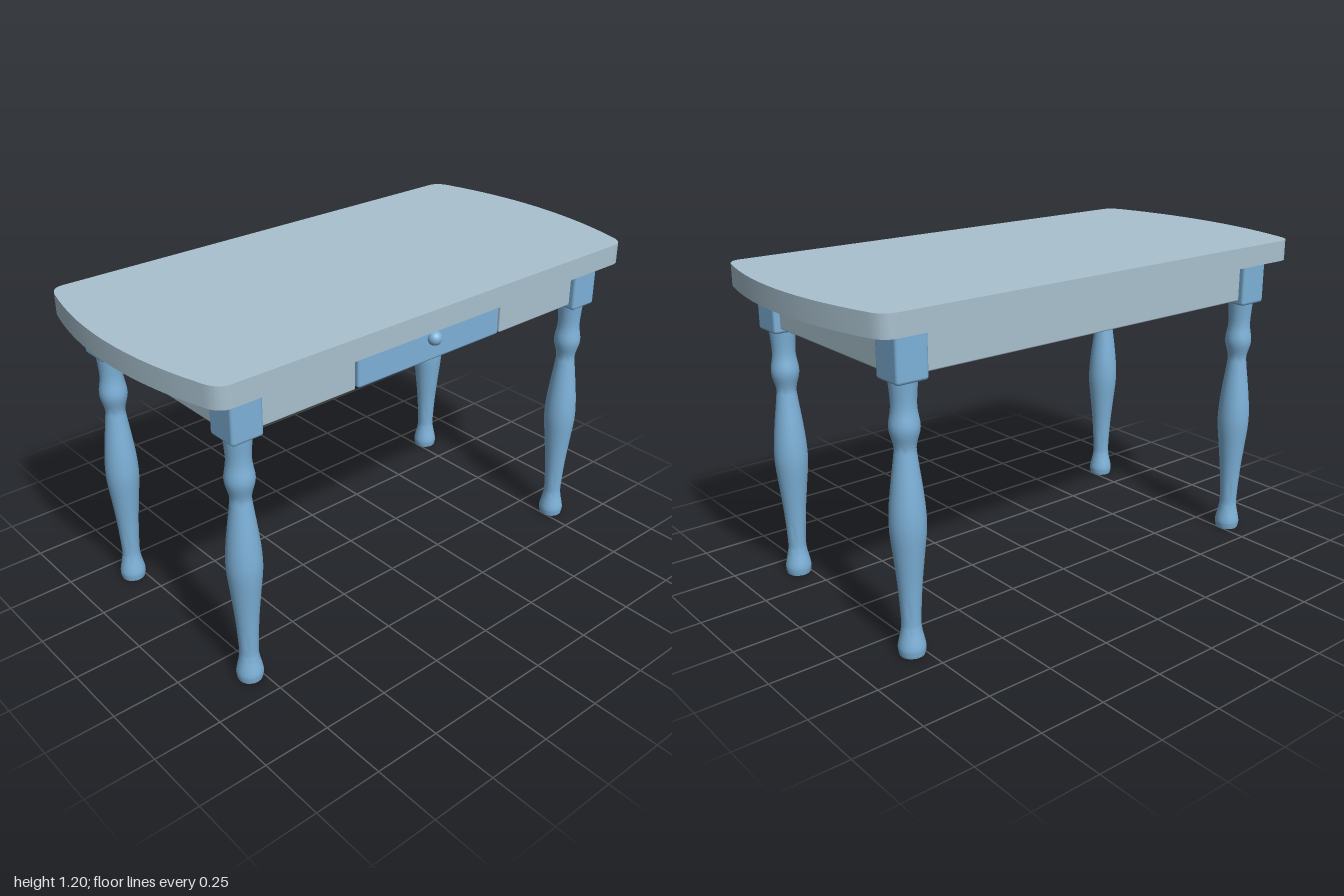
import * as THREE from 'three';
import { toCreasedNormals } from 'three/addons/utils/BufferGeometryUtils.js';
import { RoundedBoxGeometry } from 'three/addons/geometries/RoundedBoxGeometry.js';

export function createModel() {
  const table = new THREE.Group();
  table.name = 'table';
  const grey = new THREE.MeshStandardMaterial({ color: 0xa9c1cf });
  grey.name = 'greyPaint';
  const blue = new THREE.MeshStandardMaterial({ color: 0x7db1d8 });
  blue.name = 'bluePaint';

  const add = (parent, name, geometry, material, x = 0, y = 0, z = 0) => {
    const mesh = new THREE.Mesh(geometry, material);
    mesh.name = name;
    mesh.position.set(x, y, z);
    parent.add(mesh);
    return mesh;
  };
  const board = (w, h, d, r = 0.006) => new RoundedBoxGeometry(w, h, d, 2, r);

  // Table top: bowed ends and rounded corners
  const topY = 1.2, underY = 1.122, half = 0.495;
  const outline = new THREE.Shape();
  outline.moveTo(-0.875, -half);
  outline.lineTo(0.875, -half);
  outline.quadraticCurveTo(0.922, -half, 0.938, -0.435);
  outline.quadraticCurveTo(1.062, 0, 0.938, 0.435);
  outline.quadraticCurveTo(0.922, half, 0.875, half);
  outline.lineTo(-0.875, half);
  outline.quadraticCurveTo(-0.922, half, -0.938, 0.435);
  outline.quadraticCurveTo(-1.062, 0, -0.938, -0.435);
  outline.quadraticCurveTo(-0.922, -half, -0.875, -half);
  const slab = new THREE.ExtrudeGeometry(outline, { depth: topY - underY, bevelEnabled: false, curveSegments: 14 });
  slab.rotateX(-Math.PI / 2);
  add(table, 'tableTop', toCreasedNormals(slab, 0.6), grey, 0, underY, 0);

  // Turned legs with square blocks at the top
  const legX = 0.79, legZ = 0.383, blockSize = 0.121;
  const turning = new THREE.SplineCurve([
    [0.044, 0], [0.048, 0.03], [0.036, 0.09], [0.034, 0.13], [0.041, 0.25], [0.052, 0.36],
    [0.061, 0.45], [0.06, 0.52], [0.052, 0.6], [0.039, 0.7], [0.037, 0.74], [0.051, 0.8],
    [0.042, 0.87], [0.048, 0.96],
  ].map(([r, y]) => new THREE.Vector2(r, y)));
  const profile = [new THREE.Vector2(0, 0), ...turning.getPoints(52)];
  const shaft = toCreasedNormals(new THREE.LatheGeometry(profile, 20), 0.7);
  const block = board(blockSize, underY - 0.955, blockSize, 0.012);
  for (const sx of [-1, 1]) {
    for (const sz of [-1, 1]) {
      const leg = new THREE.Group();
      leg.name = (sz > 0 ? 'front' : 'back') + (sx > 0 ? 'Left' : 'Right') + 'Leg';
      leg.position.set(sx * legX, 0, sz * legZ);
      add(leg, 'turnedShaft', shaft, blue);
      add(leg, 'legBlock', block, blue, 0, (underY + 0.955) / 2, 0);
      table.add(leg);
    }
  }

  // Aprons between the legs, with a gap in the front one for the drawer
  const apronH = underY - 0.973, apronY = (underY + 0.973) / 2, thick = 0.034;
  const inX = legX - 0.05, inZ = legZ - 0.05;
  add(table, 'backApron', board(2 * inX, apronH, thick), grey, 0, apronY, -legZ - 0.02);
  for (const s of [-1, 1]) {
    add(table, 'sideApron', board(thick, apronH, 2 * inZ), grey, s * (legX + 0.02), apronY, 0);
    add(table, 'frontApron', board(inX - 0.342, apronH, thick), grey, s * (inX + 0.342) / 2, apronY, legZ + 0.02);
  }

  // Drawer: blue front with a round knob, and an open grey tray behind it
  const drawer = new THREE.Group();
  drawer.name = 'drawer';
  table.add(drawer);
  add(drawer, 'drawerFront', board(0.666, apronH, 0.034, 0.01), blue, 0, apronY, legZ + 0.024);
  add(drawer, 'knob', new THREE.SphereGeometry(0.026, 20, 14), blue, 0, 1.06, 0.434);
  const trayFront = legZ + 0.008, trayBack = -0.19, trayD = trayFront - trayBack;
  const trayZ = (trayFront + trayBack) / 2;
  add(drawer, 'drawerFloor', new THREE.BoxGeometry(0.64, 0.015, trayD), grey, 0, 0.99, trayZ);
  add(drawer, 'drawerBack', new THREE.BoxGeometry(0.64, 0.11, 0.02), grey, 0, 1.045, trayBack + 0.01);
  for (const s of [-1, 1]) {
    add(drawer, 'drawerSide', new THREE.BoxGeometry(0.02, 0.11, trayD), grey, s * 0.31, 1.045, trayZ);
  }
  return table;
}
